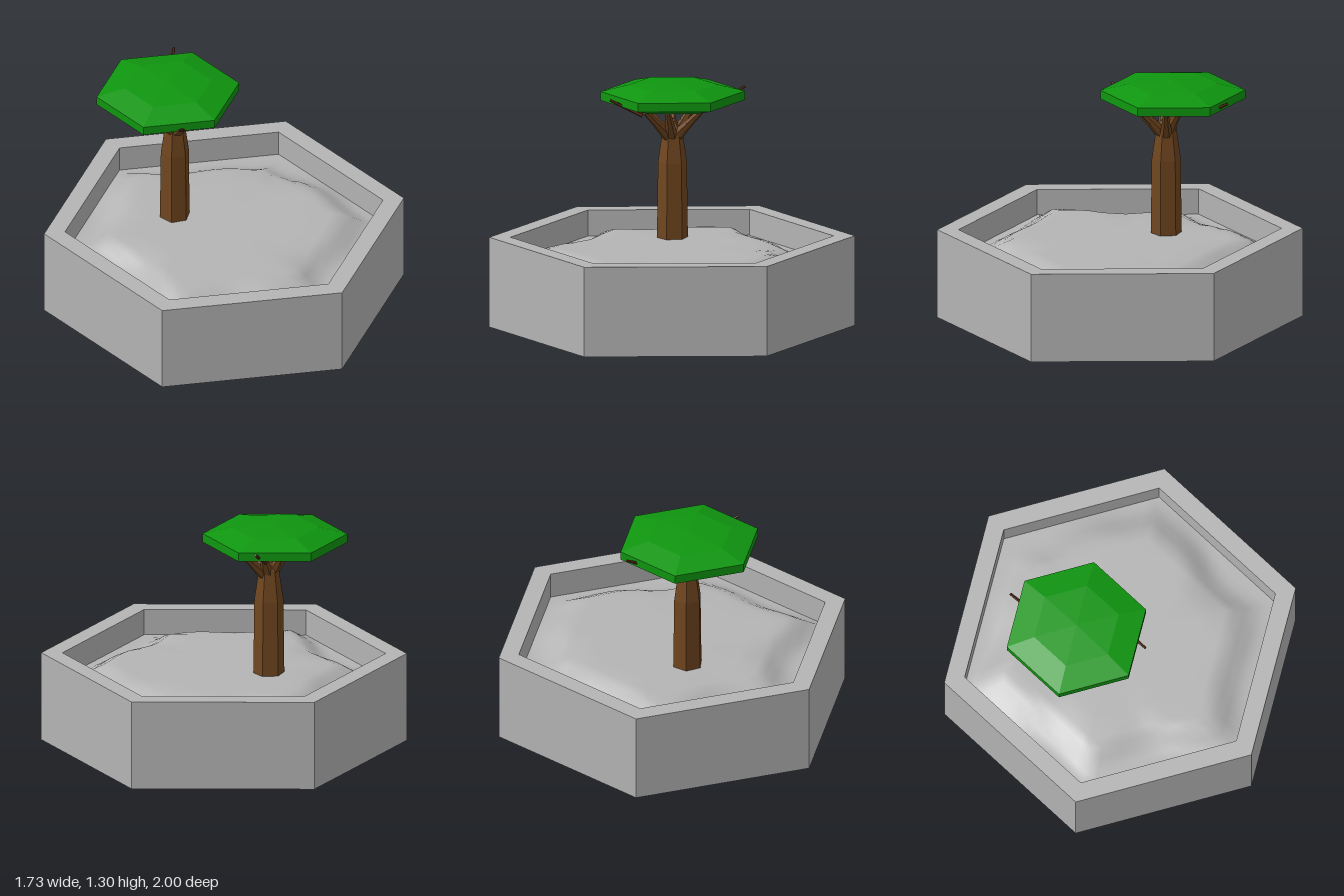
import * as THREE from 'three';

const mat = (name, color, flatShading = true) => {
  const m = new THREE.MeshStandardMaterial({ color, flatShading });
  m.name = name;
  return m;
};

// Six-sided solid turned from a [radius, height] profile, corners on +z and -z
function hexLathe(name, profile, material) {
  const pts = profile.map(([r, y]) => new THREE.Vector2(r, y));
  const mesh = new THREE.Mesh(new THREE.LatheGeometry(pts, 6), material);
  mesh.name = name;
  return mesh;
}

// Tapered branch through points [x, y, z, radius]
function limb(name, points, material) {
  const group = new THREE.Group();
  group.name = name;
  for (let i = 0; i < points.length - 1; i++) {
    const a = new THREE.Vector3(...points[i]);
    const b = new THREE.Vector3(...points[i + 1]);
    const dir = b.clone().sub(a);
    const geo = new THREE.CylinderGeometry(points[i + 1][3], points[i][3], dir.length(), 6);
    const mesh = new THREE.Mesh(geo, material);
    mesh.name = name + 'Segment';
    mesh.position.copy(a).add(b).multiplyScalar(0.5);
    mesh.quaternion.setFromUnitVectors(new THREE.Vector3(0, 1, 0), dir.normalize());
    group.add(mesh);
  }
  return group;
}

// Raised ground: flat plateau that slopes down towards the tray walls
function groundGeometry() {
  const rings = [0, 0.2, 0.4, 0.52, 0.57, 0.62, 0.67, 0.72, 0.768];
  const n = 72;
  const pos = [], idx = [];
  rings.forEach((d, k) => {
    for (let i = 0; i < n; i++) {
      const a = (i / n) * Math.PI * 2;
      const local = ((a + Math.PI * 2) % (Math.PI / 3)) - Math.PI / 6;
      const r = d / Math.cos(local);
      const wobble = 0.035 * Math.sin(3 * a + 1) + 0.025 * Math.sin(7 * a);
      const fall = THREE.MathUtils.smoothstep(d + wobble, 0.53, 0.72);
      pos.push(r * Math.sin(a), 0.44 - 0.085 * fall, r * Math.cos(a));
      if (k > 0) {
        const j = (i + 1) % n, p = (k - 1) * n, q = k * n;
        idx.push(p + i, q + i, q + j);
        if (k > 1) idx.push(p + i, q + j, p + j);
      }
    }
  });
  const geo = new THREE.BufferGeometry();
  geo.setAttribute('position', new THREE.Float32BufferAttribute(pos, 3));
  geo.setIndex(idx);
  geo.computeVertexNormals();
  // The centre ring is collapsed, so give it upright normals
  for (let i = 0; i < n; i++) geo.attributes.normal.setXYZ(i, 0, 1, 0);
  return geo;
}

export function createModel() {
  const stone = mat('stone', 0xb4b4b4);
  const soil = mat('ground', 0xb4b4b4, false);
  const bark = mat('bark', 0x70461f);
  const twigBark = mat('twig bark', 0x5c2e18);
  const leaf = mat('leaf', 0x0f960f);
  const model = new THREE.Group();
  model.name = 'treeInPlanter';

  // Planter
  model.add(hexLathe('planter',
    [[0, 0], [1, 0], [1, 0.5], [0.884, 0.5], [0.884, 0.3], [0, 0.3]], stone));
  const ground = new THREE.Mesh(groundGeometry(), soil);
  ground.name = 'ground';
  model.add(ground);

  // Trunk
  const cx = -0.137, cz = -0.255;
  const trunk = hexLathe('trunk',
    [[0, 0.4], [0.086, 0.4], [0.083, 0.62], [0.08, 0.86], [0.06, 1.0], [0.055, 1.04], [0.03, 1.08], [0, 1.08]], bark);
  trunk.position.set(cx, 0, cz);
  trunk.rotation.y = 0.12;
  model.add(trunk);

  // Main branches, given by the place where they enter the crown
  const tips = [[-0.31, -0.22], [0.05, -0.25], [-0.2, -0.06], [-0.08, -0.1], [-0.19, -0.34], [-0.05, -0.33]];
  tips.forEach(([x, z]) => {
    const at = (t, y, r) => [cx + (x - cx) * t, y, cz + (z - cz) * t, r];
    model.add(limb('branch', [at(0.1, 1.0, 0.036), at(0.55, 1.085, 0.024), at(1, 1.165, 0.015)], bark));
  });

  // Thin twigs that poke out of the crown
  model.add(limb('frontTwig', [[-0.2, 1.15, -0.03, 0.012], [-0.365, 1.232, 0.04, 0.007]], twigBark));
  model.add(limb('backTwig', [[0.0, 1.15, -0.46, 0.012], [0.135, 1.25, -0.585, 0.008]], twigBark));

  // Crown
  const crown = hexLathe('crown',
    [[0, 1.147], [0.24, 1.158], [0.396, 1.196], [0.396, 1.245], [0.24, 1.283], [0, 1.297]], leaf);
  crown.position.set(-0.155, 0, -0.292);
  model.add(crown);

  return model;
}
